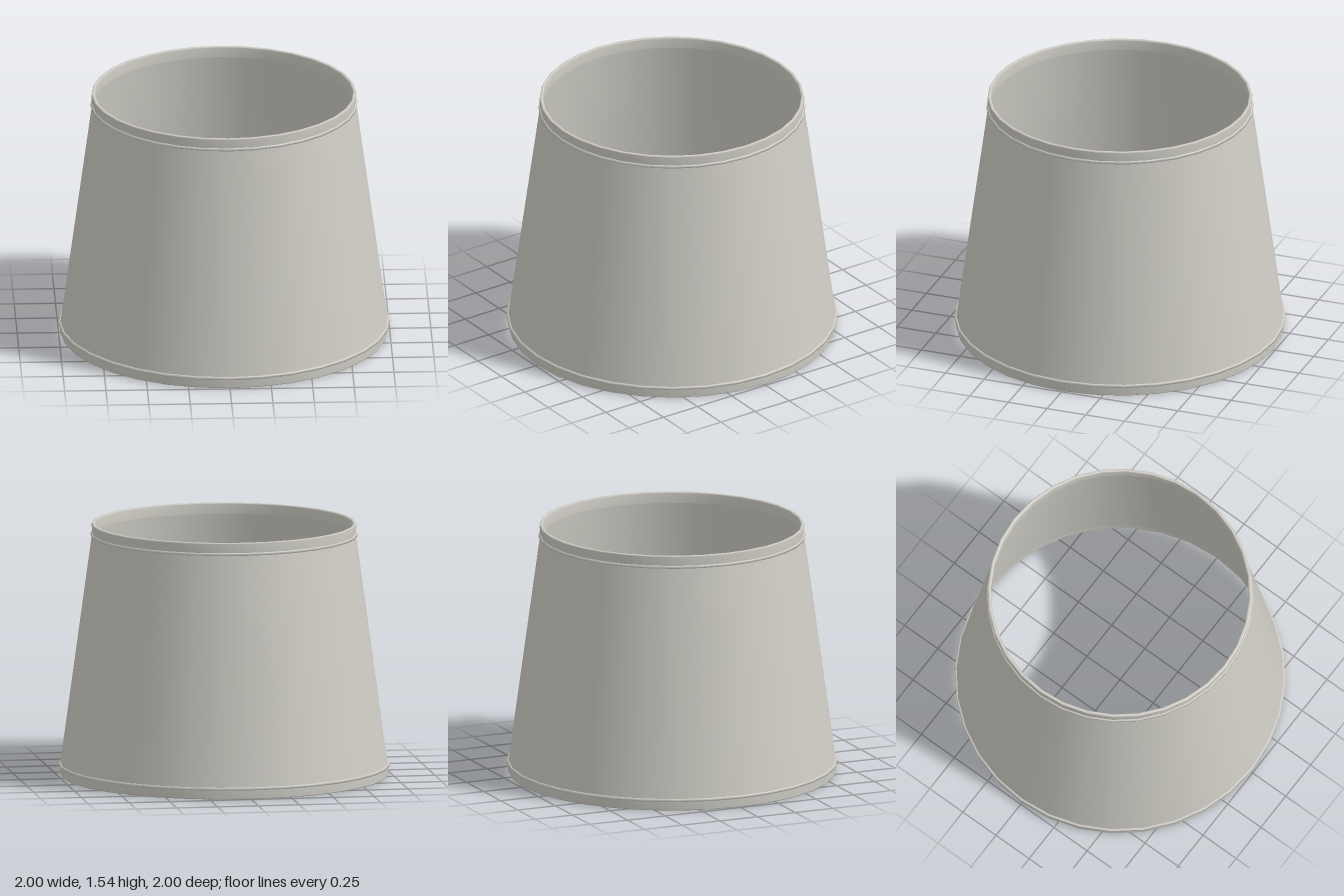
import * as THREE from 'three';

const SEGMENTS = 32;

export function createModel() {
  const group = new THREE.Group();
  group.name = 'lampshade';
  const fabric = new THREE.MeshStandardMaterial({ color: 0xcfcdc5 });
  fabric.name = 'warm grey fabric';

  // Profiles run up the outside and down the inside, so faces point outward
  const ring = (name, profile) => {
    const points = profile.map(([r, y]) => new THREE.Vector2(r, y));
    const mesh = new THREE.Mesh(new THREE.LatheGeometry(points, SEGMENTS), fabric);
    mesh.name = name;
    group.add(mesh);
  };

  // Tapered wall, as separate outer and inner skins
  ring('shadeOuter', [[0.99, 0.06], [0.797, 1.475]]);
  ring('shadeInner', [[0.78, 1.475], [0.973, 0.06]]);

  // Trim bands with softly shaded rims
  ring('topBand', [[0.797, 1.47], [0.8, 1.53], [0.797, 1.537], [0.785, 1.537], [0.779, 1.53], [0.78, 1.47]]);
  ring('bottomBand', [[0.973, 0.065], [0.975, 0.006], [0.979, 0], [0.988, 0], [0.991, 0.006], [0.992, 0.065]]);

  // Narrow raised seams where the bands meet the wall
  const seam = (name, r, y) => ring(name, [
    [r - 0.012, y - 0.008], [r, y - 0.008], [r, y + 0.008], [r - 0.012, y + 0.008],
  ]);
  seam('topSeam', 0.806, 1.468);
  seam('bottomSeam', 1.0, 0.064);

  return group;
}
